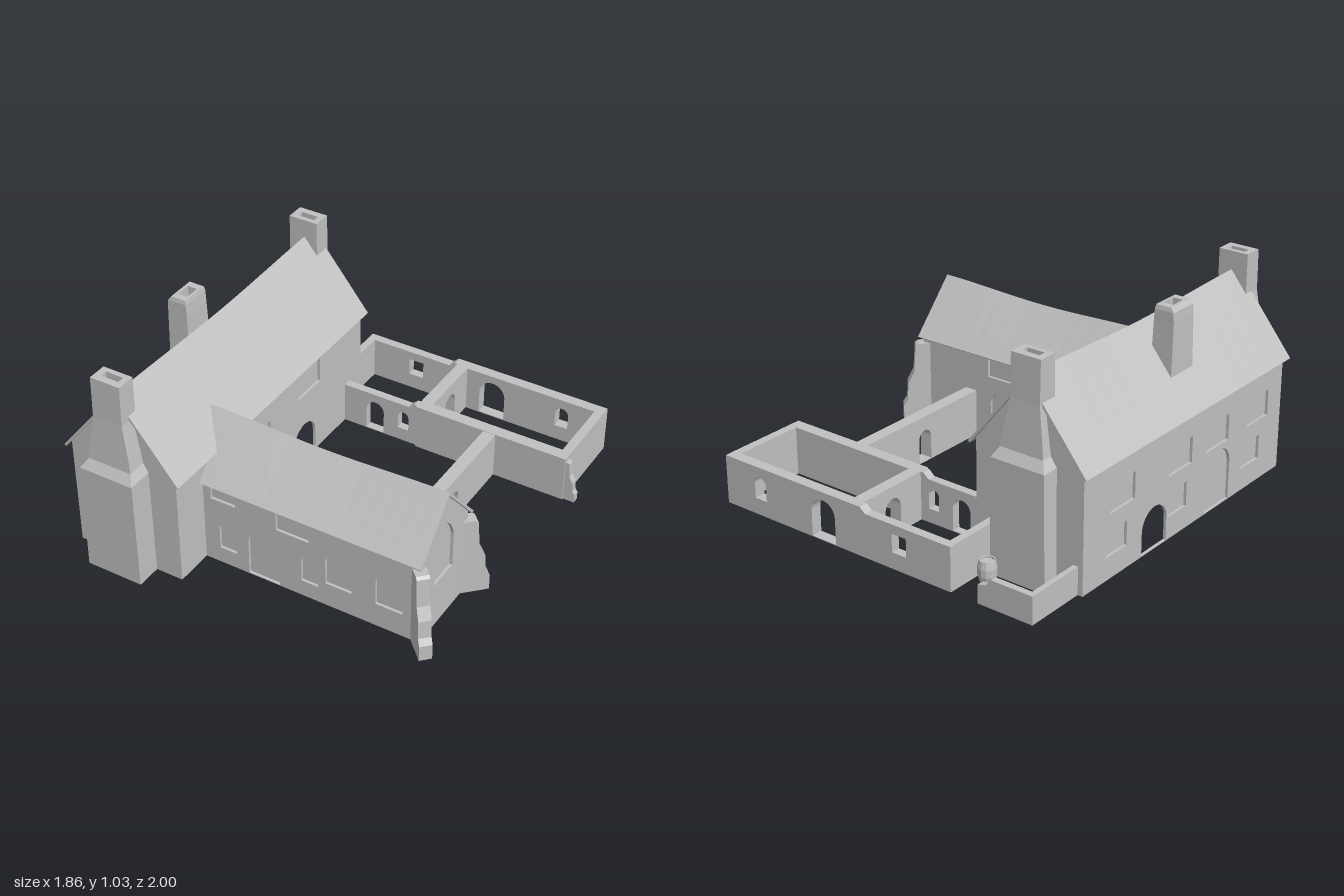
import * as THREE from 'three';

const stone = new THREE.MeshStandardMaterial({ color: 0xc0c0c0, side: THREE.DoubleSide });
stone.name = 'stone grey';

function add(parent, name, geometry) {
  const mesh = new THREE.Mesh(geometry, stone);
  mesh.name = name;
  parent.add(mesh);
  return mesh;
}

// Joins equal-sized rings of [x, y, z] points with flat faces and closes both ends
function loft(rings) {
  const pos = [];
  const tri = (a, b, c) => pos.push(...a, ...b, ...c);
  const n = rings[0].length;
  for (let r = 0; r < rings.length - 1; r++) {
    for (let i = 0; i < n; i++) {
      const j = (i + 1) % n, A = rings[r], B = rings[r + 1];
      tri(A[i], B[i], B[j]);
      tri(A[i], B[j], A[j]);
    }
  }
  const first = rings[0], last = rings[rings.length - 1];
  for (let i = 1; i < n - 1; i++) {
    tri(first[0], first[i], first[i + 1]);
    tri(last[0], last[i + 1], last[i]);
  }
  const g = new THREE.BufferGeometry();
  g.setAttribute('position', new THREE.Float32BufferAttribute(pos, 3));
  g.computeVertexNormals();
  return g;
}

// Outline of an opening: rect, round arch or pointed arch
function opening(kind, x0, x1, y0, y1) {
  const s = new THREE.Shape(), w = x1 - x0, m = (x0 + x1) / 2;
  const spring = kind === 'rect' ? y1 : y1 - w * (kind === 'point' ? 0.75 : 0.5);
  s.moveTo(x0, y0);
  s.lineTo(x1, y0);
  s.lineTo(x1, spring);
  if (kind === 'round') s.absarc(m, spring, w / 2, 0, Math.PI, false);
  if (kind === 'point') {
    s.quadraticCurveTo(x1 - w * 0.05, spring + w * 0.4, m, y1);
    s.quadraticCurveTo(x0 + w * 0.05, spring + w * 0.4, x0, spring);
  }
  if (kind === 'rect') s.lineTo(x0, y1);
  s.closePath();
  return s;
}

const FACING = {
  front: [0, 1, 'z'], back: [Math.PI, -1, 'z'],
  right: [Math.PI / 2, -1, 'x'], left: [-Math.PI / 2, 1, 'x'],
};

// Wall with its outer face at `at`; outline and openings use world coordinates.
// An opening is [kind, from, to, bottom, top, open]; closed ones get a recessed pane.
function wall(parent, name, facing, at, outline, openings = [], depth = 0.014) {
  const [turn, sign, axis] = FACING[facing];
  const group = new THREE.Group();
  group.name = name;
  const shape = new THREE.Shape(outline.map(([a, y]) => new THREE.Vector2(a * sign, y)));
  for (const [kind, a, b, y0, y1, open] of openings) {
    const u = [a * sign, b * sign].sort((p, q) => p - q);
    const hole = opening(kind, u[0], u[1], Math.max(y0, 0.004), y1);
    shape.holes.push(hole);
    if (!open) {
      const pane = new THREE.ShapeGeometry(hole, 8);
      pane.translate(0, 0, -depth);
      add(group, 'recessedPane', pane);
    }
  }
  const g = new THREE.ExtrudeGeometry(shape, { depth, bevelEnabled: false, curveSegments: 8 });
  g.translate(0, 0, -depth);
  add(group, 'masonry', g);
  group.rotation.y = turn;
  group.position[axis] = at;
  parent.add(group);
}

const slab = (a, b, h) => [[a, 0], [b, 0], [b, h], [a, h]];

// Pitched roof of two thin slopes whose ridge sags in the middle
function roof(parent, name, axis, from, to, mid, half, eave, ridge, sag, eaveFrom = from) {
  const group = new THREE.Group();
  group.name = name;
  const place = (along, across, y) => (axis === 'z' ? [across, y, along] : [along, y, across]);
  for (const side of [-1, 1]) {
    const rings = [];
    for (let i = 0; i <= 14; i++) {
      const t = i / 14;
      const a = from + (to - from) * t, e = eaveFrom + (to - eaveFrom) * t;
      const top = ridge - sag * Math.sin(Math.PI * t) ** 2;
      rings.push([
        place(e, mid + side * half, eave), place(a, mid, top),
        place(a, mid, top - 0.018), place(e, mid + side * (half - 0.01), eave - 0.008),
      ]);
    }
    add(group, 'roofSlope', loft(rings));
  }
  parent.add(group);
}

// Chimney from [y, x0, x1, z0, z1] sections, ending in a sunken flue
function chimney(parent, name, sections, flue) {
  const [x0, x1, z0, z1] = flue, top = sections[sections.length - 1][0];
  const all = [...sections, [top, x0, x1, z0, z1], [top - 0.05, x0, x1, z0, z1]];
  add(parent, name, loft(all.map(([y, a, b, c, d]) => [[a, y, c], [b, y, c], [b, y, d], [a, y, d]])));
}

// Stepped buttress pointing along +x before it is turned
function buttress(parent, name, x, z, turn, width, scaleX, scaleY) {
  const profile = [[-0.04, 0], [0.1, 0], [0.1, 0.08], [0.08, 0.11], [0.075, 0.2], [0.045, 0.26], [0.035, 0.4], [0.02, 0.41], [-0.04, 0.41]];
  const s = new THREE.Shape(profile.map(([a, y]) => new THREE.Vector2(a * scaleX, y * scaleY)));
  const g = new THREE.ExtrudeGeometry(s, { depth: width, bevelEnabled: false });
  g.translate(0, 0, -width / 2);
  const mesh = add(parent, name, g);
  mesh.position.set(x, 0, z);
  mesh.rotation.y = turn;
}

function box(parent, name, x0, x1, y0, y1, z0, z1) {
  const g = new THREE.BoxGeometry(x1 - x0, y1 - y0, z1 - z0);
  g.translate((x0 + x1) / 2, (y0 + y1) / 2, (z0 + z1) / 2);
  add(parent, name, g);
}

export function createModel() {
  const model = new THREE.Group();
  model.name = 'stoneFarmhouse';

  // Main house
  const passage = ['round', -0.26, -0.07, 0, 0.21, true];
  const gable = [[-0.91, 0], [-0.345, 0], [-0.345, 0.58], [-0.627, 0.925], [-0.91, 0.58]];
  wall(model, 'houseFrontGable', 'front', 0.875, gable);
  wall(model, 'houseBackGable', 'back', -0.69, gable);
  wall(model, 'houseWestWall', 'left', -0.91, slab(-0.69, 0.875, 0.58), [
    ...[-0.41, 0.03, 0.33, 0.67].map((z) => ['rect', z - 0.09, z + 0.09, 0.31, 0.44]),
    ...[-0.45, 0.01, 0.62].map((z) => ['rect', z - 0.075, z + 0.075, 0.11, 0.23]),
    ['round', 0.24, 0.44, 0, 0.29], passage,
  ]);
  wall(model, 'houseEastWall', 'right', -0.345, slab(-0.69, 0.875, 0.58), [
    ['rect', -0.31, -0.12, 0.38, 0.51], ['rect', 0.13, 0.25, 0.25, 0.42], passage,
  ]);
  roof(model, 'houseRoof', 'z', -0.71, 0.9, -0.625, 0.31, 0.555, 0.94, 0.018);

  // Chimneys
  const stack = [
    [0, -0.775, -0.485, 0.85, 1], [0.555, -0.77, -0.49, 0.85, 1], [0.6, -0.74, -0.515, 0.85, 0.968],
    [0.67, -0.73, -0.525, 0.85, 0.962], [0.83, -0.708, -0.555, 0.85, 0.95], [1.03, -0.708, -0.555, 0.85, 0.945],
  ];
  const flip = (z) => 0.225 - z;
  chimney(model, 'frontChimney', stack, [-0.675, -0.585, 0.875, 0.91]);
  chimney(model, 'backChimney', stack.map(([y, a, b, c, d]) => [y, a, b, flip(c), flip(d)]),
    [-0.675, -0.585, flip(0.875), flip(0.91)]);
  chimney(model, 'middleChimney', [
    [0.68, -0.81, -0.7, 0.08, 0.25], [0.95, -0.808, -0.705, 0.09, 0.245],
    [1.0, -0.805, -0.708, 0.09, 0.245], [1.02, -0.79, -0.712, 0.095, 0.24],
  ], [-0.775, -0.725, 0.13, 0.205]);

  // Side wing
  wall(model, 'wingFrontWall', 'front', 0.68, slab(-0.345, 0.77, 0.455), [
    ['rect', -0.305, -0.175, 0.355, 0.435], ['rect', 0.04, 0.21, 0.32, 0.435],
    ['round', -0.265, -0.175, 0.085, 0.24], ['round', 0.17, 0.255, 0.085, 0.24],
    ['round', -0.11, 0.055, 0, 0.275],
    ['point', 0.295, 0.43, 0.125, 0.355], ['point', 0.55, 0.685, 0.125, 0.355],
  ]);
  wall(model, 'wingBackWall', 'back', 0.265, slab(-0.345, 0.77, 0.455), [
    ['rect', 0.21, 0.36, 0.33, 0.42], ['round', 0.21, 0.345, 0, 0.26], ['round', 0.03, 0.11, 0.09, 0.22],
  ]);
  wall(model, 'wingGable', 'right', 0.77,
    [[0.265, 0], [0.68, 0], [0.68, 0.455], [0.472, 0.68], [0.265, 0.455]],
    [['point', 0.393, 0.557, 0.235, 0.535]]);
  roof(model, 'wingRoof', 'x', -0.43, 0.785, 0.472, 0.232, 0.44, 0.7, 0.018, -0.345);
  buttress(model, 'frontCornerButtress', 0.775, 0.685, -Math.PI / 4, 0.06, 1, 1);
  buttress(model, 'backCornerButtress', 0.775, 0.26, Math.PI / 4, 0.06, 1, 1);

  // Outside steps
  for (let i = 0; i < 9; i++) {
    box(model, 'stairStep', -0.35, -0.29, i * 0.027, (i + 1) * 0.027, -0.05 + i * 0.02, -0.03 + i * 0.02);
  }
  box(model, 'stairLanding', -0.35, -0.29, 0.216, 0.245, 0.13, 0.27);
  box(model, 'doorStep', 0.205, 0.355, 0, 0.03, 0.195, 0.27);

  // Yard wall joining the wing and the roofless building
  wall(model, 'yardWall', 'right', 0.5, slab(-0.54, 0.265, 0.237), [['round', -0.165, -0.08, 0, 0.165, true]], 0.065);

  // Roofless building
  wall(model, 'ruinBackWall', 'back', -1, slab(0.065, 0.87, 0.24),
    [['round', 0.2, 0.34, 0, 0.2, true], ['round', 0.62, 0.69, 0.08, 0.19, true]], 0.055);
  wall(model, 'ruinFrontWall', 'front', -0.53, slab(0.065, 0.87, 0.24), [], 0.062);
  wall(model, 'ruinEastWall', 'right', 0.87, slab(-1, -0.53, 0.24), [], 0.045);
  wall(model, 'ruinWestWall', 'left', 0.065, slab(-1, -0.53, 0.24), [['round', -0.82, -0.72, 0, 0.18, true]], 0.062);
  buttress(model, 'ruinButtress', 0.87, -0.555, 0, 0.035, 0.58, 0.53);

  // Middle court, its walls ramping up to the roofless building
  const ramp = (a) => [[a, 0], [0.07, 0], [0.07, 0.24], [0.05, 0.24], [0.02, 0.215], [a, 0.215]];
  wall(model, 'courtBackWall', 'back', -1, ramp(-0.455), [['rect', -0.21, -0.13, 0.08, 0.17, true]], 0.045);
  wall(model, 'courtFrontWall', 'front', -0.54, ramp(-0.35),
    [['round', -0.22, -0.12, 0, 0.17, true], ['round', -0.04, 0.02, 0.07, 0.17, true]], 0.042);
  wall(model, 'courtWestWall', 'left', -0.455, slab(-1, -0.69, 0.215), [], 0.038);

  // Low garden wall with a broken end
  wall(model, 'gardenBackWall', 'back', -1,
    [[-0.885, 0], [-0.6, 0], [-0.6, 0.09], [-0.64, 0.1], [-0.67, 0.135], [-0.885, 0.135]], [], 0.032);
  wall(model, 'gardenWestWall', 'left', -0.885, slab(-1, -0.69, 0.135), [], 0.025);

  // Barrel
  const profile = [[0, 0], [0.034, 0], [0.044, 0.035], [0.044, 0.07], [0.036, 0.105], [0.03, 0.105], [0.03, 0.095], [0, 0.095]];
  const barrel = new THREE.LatheGeometry(profile.map(([r, y]) => new THREE.Vector2(r, y)), 12).toNonIndexed();
  barrel.computeVertexNormals();
  add(model, 'barrel', barrel).position.set(-0.515, 0, -0.83);

  return model;
}
